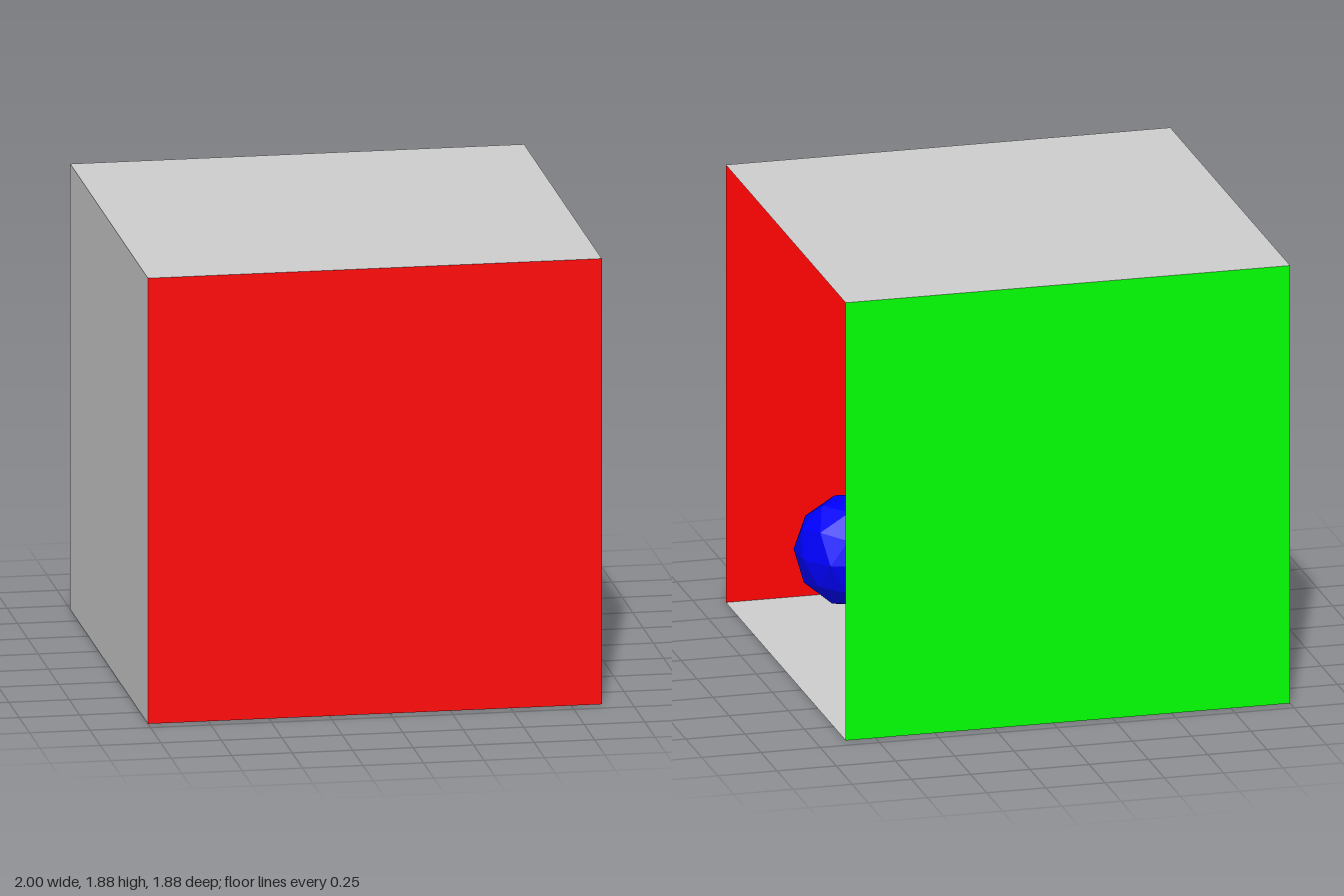
import * as THREE from 'three';

const S = 1.876;        // room side
const H = S / 2;
const R = S / 8;        // ball radius and half the block width
const CX = H - 1;       // room centre in x

const mat = (color, extra = {}) =>
  new THREE.MeshStandardMaterial({ color, flatShading: true, ...extra });

export function createModel() {
  const model = new THREE.Group();

  const add = (name, geometry, material, x, y, z) => {
    const mesh = new THREE.Mesh(geometry, material);
    mesh.name = name;
    mesh.position.set(x, y, z);
    model.add(mesh);
    return mesh;
  };

  // Thin room walls, open on the +x side
  const wall = (name, color, x, y, z, rx, ry) =>
    add(name, new THREE.PlaneGeometry(S, S), mat(color, { side: THREE.DoubleSide }), x, y, z)
      .rotation.set(rx, ry, 0);
  wall('floor', 0xcccccc, CX, 0, 0, -Math.PI / 2, 0);
  wall('ceiling', 0xcccccc, CX, S, 0, Math.PI / 2, 0);
  wall('endWall', 0xcccccc, -1, H, 0, 0, Math.PI / 2);
  wall('redWall', 0xff0000, CX, H, H, 0, Math.PI);
  wall('greenWall', 0x00ff00, CX, H, -H, 0, 0);

  // Turned blocks standing on the floor
  const block = (name, height, x, z, degrees) => {
    add(name, new THREE.BoxGeometry(2 * R, height, 2 * R), mat(0xcccccc), x, height / 2, z)
      .rotation.y = THREE.MathUtils.degToRad(degrees);
  };
  block('tallBlock', 5 * R, -0.332, 0.3, 16.9);
  block('shortBlock', 2 * R, 0.297, -0.232, -23.2);

  // Faceted balls
  const ball = () => new THREE.SphereGeometry(R, 32, 16);
  add('greyBall', ball(), mat(0xcccccc), -0.175, 0.69, -0.51);
  add('pinkBall', ball(), mat(0xe055d5), -0.008, 1.235, -0.65);

  // Coarse blue ball, turned so that a corner points straight up
  const coarse = new THREE.IcosahedronGeometry(R, 1);
  coarse.rotateZ(-Math.atan(2 / (1 + Math.sqrt(5))));
  add('blueBall', coarse, mat(0x0000ff), 0.777, 0.72, -0.655);

  return model;
}
